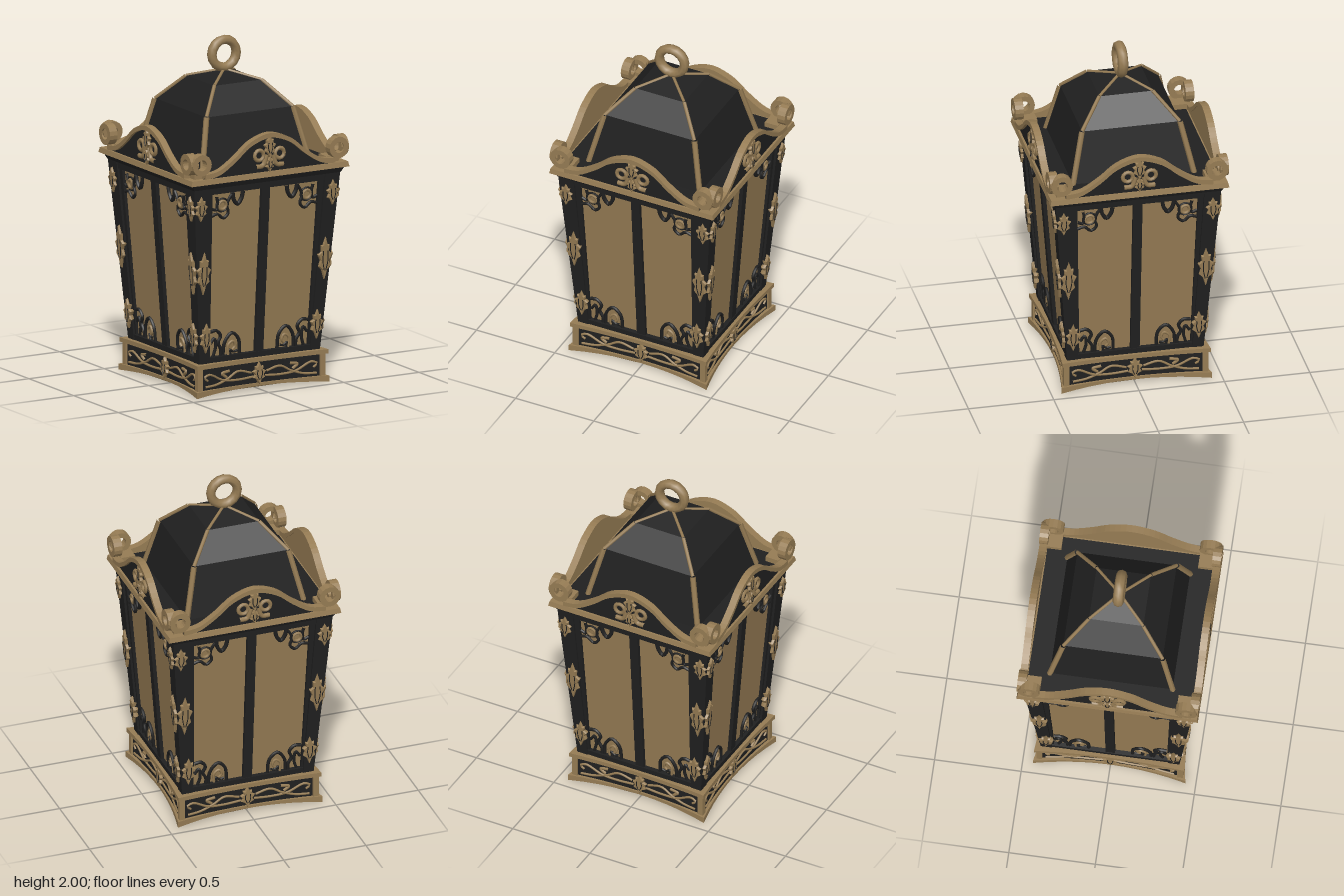
import * as THREE from 'three';

const gold = new THREE.MeshStandardMaterial({ color: 0x967c54 });
gold.name = 'antique gold';
const black = new THREE.MeshStandardMaterial({ color: 0x202020 });
black.name = 'black iron';

const V = (x, y, z = 0) => new THREE.Vector3(x, y, z);

function add(parent, name, geometry, material, x = 0, y = 0, z = 0) {
  const mesh = new THREE.Mesh(geometry, material);
  mesh.name = name;
  mesh.position.set(x, y, z);
  parent.add(mesh);
  return mesh;
}

// Four-sided solid between two rectangles [x0, x1, z0, z1]
function taper(y0, y1, bottom, top) {
  const g = new THREE.BoxGeometry(1, 1, 1), p = g.attributes.position;
  for (let i = 0; i < p.count; i++) {
    const up = p.getY(i) > 0, r = up ? top : bottom;
    p.setXYZ(i, r[p.getX(i) > 0 ? 1 : 0], up ? y1 : y0, r[p.getZ(i) > 0 ? 3 : 2]);
  }
  g.computeVertexNormals();
  return g;
}
const square = h => [-h, h, -h, h];
const frustum = (y0, y1, h0, h1) => taper(y0, y1, square(h0), square(h1));
const bar = (x0, x1, y0, y1, z0, z1) => taper(y0, y1, [x0, x1, z0, z1], [x0, x1, z0, z1]);

// Square slab with sides bowed inward, its underside arched between the corners
function bowedSlab(half, inset, y0, y1, arch = 0) {
  const pts = [];
  for (let k = 0; k < 4; k++) for (let i = 0; i < 10; i++) {
    const t = i / 5 - 1, d = half - inset * (1 - t * t);
    pts.push(new THREE.Vector2(t * half, -d).rotateAround(new THREE.Vector2(), k * Math.PI / 2));
  }
  const g = new THREE.ExtrudeGeometry(new THREE.Shape(pts), { depth: y1 - y0, bevelEnabled: false });
  g.rotateX(-Math.PI / 2).translate(0, y0, 0);
  const p = g.attributes.position;
  for (let i = 0; i < p.count; i++) if (p.getY(i) < y0 + 0.001) {
    const t = Math.min(Math.abs(p.getX(i)), Math.abs(p.getZ(i))) / half;
    p.setY(i, y0 + arch * (1 - t * t));
  }
  g.computeVertexNormals();
  return g;
}

const extrude = (shape, depth) => new THREE.ExtrudeGeometry(shape, { depth, bevelEnabled: false, curveSegments: 8 });
const tube = (points, r, segments = 20) =>
  new THREE.TubeGeometry(new THREE.CatmullRomCurve3(points), segments, r, 6);

// Lobed leaf in relief with dark veins
function leaf(parent, name, x, y, z, w, h) {
  const half = [[0.3, 0.62], [0.6, 0.62], [0.5, 0.32], [1, 0.18], [0.62, -0.1], [0.85, -0.38], [0.35, -0.55]];
  const outline = [[0, 1], ...half, [0, -1], ...half.map(([a, b]) => [-a, b]).reverse()];
  const shape = new THREE.Shape(outline.map(([a, b]) => new THREE.Vector2(a * w * 0.88, b * h * 0.93)));
  const g = new THREE.ExtrudeGeometry(shape, {
    depth: 0.008, bevelThickness: 0.01, bevelSize: 0.004, bevelSegments: 1 });
  add(parent, name, g, gold, x, y, z);
  for (const s of [-1, 1])
    add(parent, name + 'Vein', tube([V(s * w * 0.1, -h * 0.55), V(s * w * 0.35, -h * 0.1), V(s * w * 0.3, h * 0.35)], 0.003, 6),
      black, x, y, z + 0.018);
}

function ringPlate(outer, inner, depth) {
  const shape = new THREE.Shape().absarc(0, 0, outer, 0, Math.PI * 2);
  shape.holes.push(new THREE.Path().absarc(0, 0, inner, 0, Math.PI * 2, true));
  return extrude(shape, depth);
}

// Leaning glazed wall: frame, centre bar and ornament
function buildWall() {
  const wall = new THREE.Group();
  wall.name = 'wall';
  wall.position.z = 0.385;
  wall.rotation.x = Math.atan(0.0794);
  add(wall, 'centreBar', bar(-0.027, 0.027, 0.2, 1.23, -0.04, -0.008), black);
  add(wall, 'topRail', bar(-0.42, 0.42, 1.2, 1.26, -0.05, -0.004), black);
  add(wall, 'bottomRail', bar(-0.36, 0.36, 0.17, 0.222, -0.05, -0.004), black);
  for (const s of [-1, 1]) {
    const pts = list => list.map(([x, y]) => V(s * x, y, -0.022));
    const lo = s > 0 ? [0.325, 0.36] : [-0.36, -0.325];
    const hi = s > 0 ? [0.355, 0.42] : [-0.42, -0.355];
    add(wall, 'stile', taper(0.19, 1.24, [...lo, -0.05, -0.012], [...hi, -0.05, -0.012]), black);

    // Upper corner scrollwork
    add(wall, 'upperScroll', tube(pts([[0.35, 1.065], [0.31, 1.075], [0.27, 1.045], [0.238, 1.075],
      [0.25, 1.12], [0.235, 1.16], [0.21, 1.195]]), 0.009), black);
    add(wall, 'upperScrollInner', tube(pts([[0.35, 1.11], [0.32, 1.1], [0.31, 1.13], [0.32, 1.18]]), 0.009), black);
    add(wall, 'upperCurl', new THREE.TorusGeometry(0.025, 0.009, 6, 12), gold, s * 0.28, 1.125, -0.02);
    add(wall, 'upperCurlEdge', new THREE.TorusGeometry(0.039, 0.006, 6, 14), black, s * 0.28, 1.125, -0.024);
    add(wall, 'pendant', tube(pts([[0.215, 1.195], [0.205, 1.15], [0.18, 1.12], [0.155, 1.15], [0.145, 1.195]]), 0.012), black);

    // Lower corner scrollwork
    add(wall, 'lowerOuterArch', tube(pts([[0.325, 0.37], [0.285, 0.375], [0.255, 0.34], [0.27, 0.3], [0.25, 0.26], [0.25, 0.21]]), 0.01), black);
    add(wall, 'lowerOuterCurl', tube(pts([[0.32, 0.3], [0.295, 0.33], [0.285, 0.28], [0.3, 0.22]]), 0.009), black);
    add(wall, 'lowerInnerArch', tube(pts([[0.235, 0.21], [0.225, 0.3], [0.18, 0.35], [0.135, 0.31], [0.125, 0.21]]), 0.01), black);
    add(wall, 'lowerInnerCurl', tube(pts([[0.2, 0.22], [0.2, 0.28], [0.17, 0.3], [0.155, 0.27], [0.17, 0.25]]), 0.008), gold);
    add(wall, 'lowerInnerCurlEdge', tube(pts([[0.18, 0.215], [0.19, 0.25], [0.165, 0.235], [0.14, 0.24]]), 0.007), black);

    // Leaves on the corner posts
    leaf(wall, 'upperPostLeaf', s * 0.437, 1.125, -0.002, 0.042, 0.075);
    leaf(wall, 'middlePostLeaf', s * 0.402, 0.735, -0.002, 0.047, 0.13);
    leaf(wall, 'lowerPostLeaf', s * 0.368, 0.345, -0.002, 0.042, 0.09);
  }
  return wall;
}

// Ogee crest with a gold rim, leaf ornament and end scrolls
function buildCrest() {
  const crest = new THREE.Group();
  crest.name = 'crest';
  const rightHalf = [[0.13, 1.488], [0.23, 1.41], [0.335, 1.345], [0.43, 1.33]];
  const curve = new THREE.SplineCurve([...rightHalf.map(([x, y]) => [-x, y]).reverse(), [0, 1.527], ...rightHalf]
    .map(([x, y]) => new THREE.Vector2(x, y)));
  const top = curve.getPoints(32);
  const under = top.map(p => new THREE.Vector2(p.x, p.y - 0.028)).reverse();
  add(crest, 'crestRim', extrude(new THREE.Shape([...top, ...under]), 0.042), gold, 0, 0, 0.48);
  const field = new THREE.Shape([new THREE.Vector2(-0.43, 1.29), new THREE.Vector2(0.43, 1.29),
    ...top.map(p => new THREE.Vector2(p.x, p.y - 0.01)).reverse()]);
  add(crest, 'crestBack', extrude(field, 0.012), gold, 0, 0, 0.485);
  add(crest, 'crestField', extrude(field, 0.008), black, 0, 0, 0.497);
  leaf(crest, 'crestLeaf', 0, 1.445, 0.504, 0.04, 0.068);
  leaf(crest, 'crestLowerLeaf', 0, 1.345, 0.504, 0.03, 0.045);
  for (const s of [-1, 1]) {
    add(crest, 'crestCurl', new THREE.TorusGeometry(0.03, 0.012, 6, 12), gold, s * 0.068, 1.4, 0.508);
    add(crest, 'crestStem', tube([V(s * 0.02, 1.4, 0.51), V(s * 0.045, 1.34, 0.51), V(s * 0.09, 1.335, 0.51)], 0.014), gold);
    add(crest, 'cornerScroll', ringPlate(0.063, 0.032, 0.05), gold, s * 0.455, 1.388, 0.474);
  }
  return crest;
}

// Scrollwork on one side of the base
function buildBaseTrim() {
  const trim = new THREE.Group();
  trim.name = 'baseTrim';
  const on = (x, y) => V(x, y, 0.418 - 0.03 * (1 - (x / 0.415) ** 2));
  leaf(trim, 'baseLeaf', 0, 0.093, 0.385, 0.045, 0.065);
  for (const s of [-1, 1]) {
    const line = list => list.map(([x, y]) => on(s * x, y));
    add(trim, 'cornerStrip', bar(s * 0.407 - 0.016, s * 0.407 + 0.016, 0.02, 0.175, 0.39, 0.423), gold);
    add(trim, 'baseVine', tube(line([[0.04, 0.075], [0.14, 0.07], [0.24, 0.08], [0.34, 0.125], [0.375, 0.11], [0.35, 0.09]]), 0.007), gold);
    add(trim, 'baseTendril', tube(line([[0.05, 0.1], [0.14, 0.12], [0.21, 0.085], [0.29, 0.06], [0.37, 0.055]]), 0.007), gold);
    add(trim, 'baseBud', tube(line([[0.2, 0.13], [0.25, 0.12], [0.22, 0.095]]), 0.009), gold);
  }
  return trim;
}

export function createModel() {
  const lantern = new THREE.Group();
  lantern.name = 'lantern';

  // Base
  add(lantern, 'baseFoot', bowedSlab(0.44, 0.045, 0, 0.036, 0.02), gold);
  add(lantern, 'basePanel', bowedSlab(0.415, 0.03, 0.03, 0.17), black);
  add(lantern, 'baseRim', bowedSlab(0.435, 0.02, 0.165, 0.19), gold);

  // Glazed body and cornice
  add(lantern, 'glass', frustum(0.18, 1.24, 0.37, 0.453), gold);
  add(lantern, 'corniceCove', frustum(1.235, 1.272, 0.487, 0.505), black);
  add(lantern, 'corniceRim', frustum(1.27, 1.3, 0.524, 0.518), gold);
  add(lantern, 'roofFloor', frustum(1.298, 1.304, 0.476, 0.476), black);

  // Domed roof with diagonal ribs
  const profile = [[0.355, 1.3], [0.287, 1.605], [0.157, 1.75], [0.003, 1.8]];
  const ribRadius = [0.017, 0.011, 0.009];
  for (let i = 0; i < 3; i++) {
    const [h0, y0] = profile[i], [h1, y1] = profile[i + 1];
    add(lantern, 'roof', frustum(y0, y1, h0, h1), black);
    for (const sx of [-1, 1]) for (const sz of [-1, 1]) {
      const line = new THREE.LineCurve3(V(sx * h0, y0, sz * h0), V(sx * h1, y1, sz * h1));
      add(lantern, 'roofRib', new THREE.TubeGeometry(line, 1, ribRadius[i], 6), gold);
    }
  }

  // Hanging ring
  add(lantern, 'hangingRing', new THREE.TorusGeometry(0.081, 0.027, 8, 16), gold, 0, 1.892, 0).scale.z = 1.15;

  // Four matching sides, each with one corner post
  const side = new THREE.Group();
  side.name = 'side';
  side.add(buildWall(), buildCrest(), buildBaseTrim());
  add(side, 'cornerPost', taper(0.185, 1.25, [0.335, 0.4, 0.335, 0.4], [0.388, 0.486, 0.388, 0.486]), black);
  add(side, 'cornerBlock', bar(0.395, 0.48, 1.295, 1.335, 0.395, 0.48), gold);
  for (let k = 0; k < 4; k++) {
    const copy = side.clone(true);
    copy.rotation.y = k * Math.PI / 2;
    lantern.add(copy);
  }
  return lantern;
}
